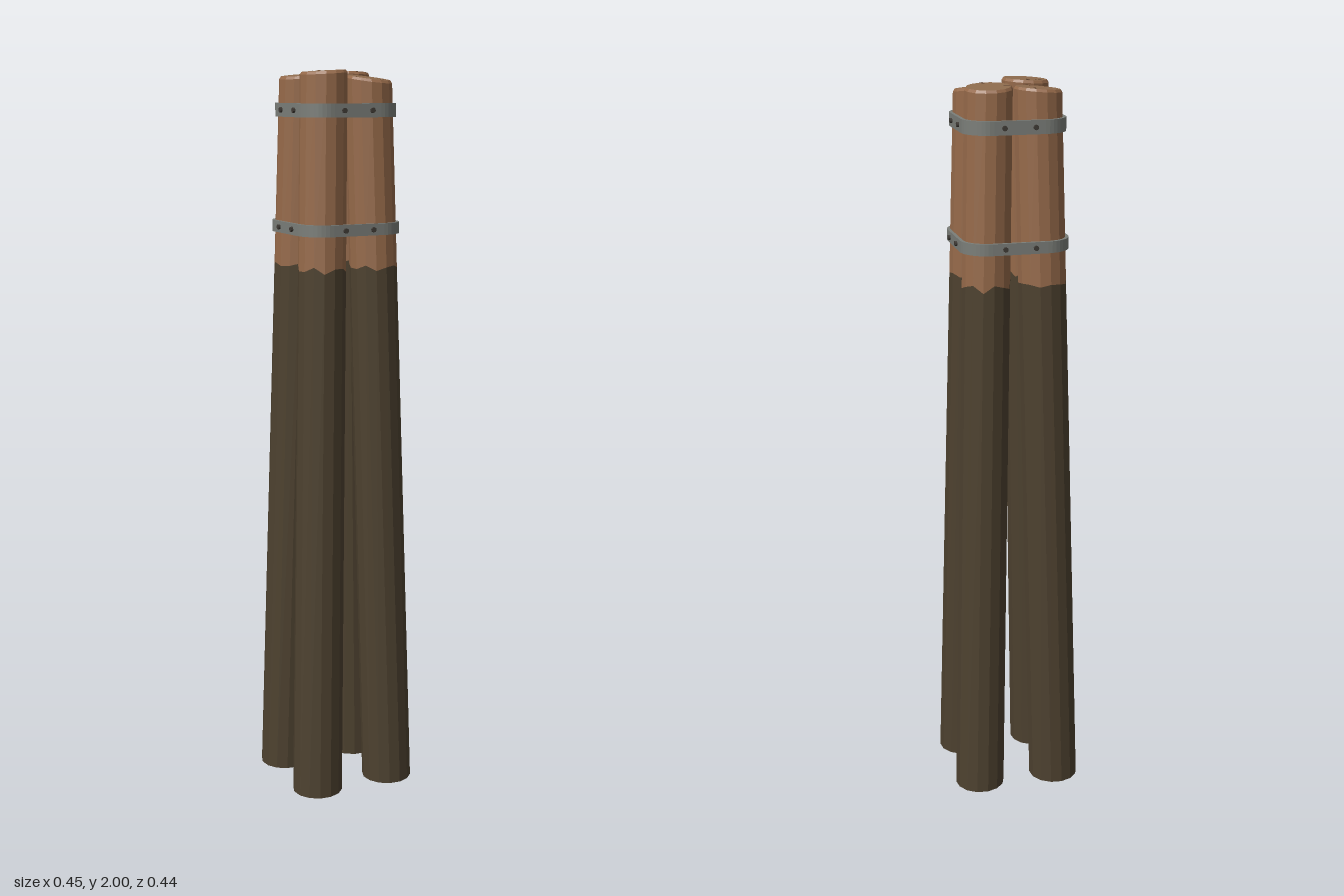
import * as THREE from 'three';

const mat = (name, color, side = THREE.FrontSide) =>
  Object.assign(new THREE.MeshStandardMaterial({ color, side, flatShading: true }), { name });

const SIDES = 14;
const TAU = Math.PI * 2;
const SEAM = 1.48;

// Pole axis and radius at a height; each pole is a quarter turn on from the last
const radiusAt = (y) => 0.07 - 0.0035 * y;
function centreAt(k, y) {
  let x = 0.153 - 0.0315 * y, z = -0.035 + 0.0075 * y;
  for (let i = 0; i < k; i++) [x, z] = [-z, x];
  return [x, z];
}

// Slightly sloping sawn top of each pole, and the angles of its two cracks
const poles = [
  { name: 'leftPole', top: 1.979, sx: -0.14, sz: 0.02, cracks: [12, 95] },
  { name: 'frontPole', top: 1.996, sx: 0.03, sz: -0.05, cracks: [218, 178] },
  { name: 'rightPole', top: 1.986, sx: 0.03, sz: -0.08, cracks: [238, 17] },
  { name: 'backPole', top: 1.992, sx: 0.04, sz: 0.06, cracks: [130, 24] },
];

// Point on a pole at angle a, radius factor f and height y
function polePoint(k, a, f, y) {
  const [cx, cz] = centreAt(k, y), r = radiusAt(y) * f;
  return [cx + Math.cos(a) * r, y, cz + Math.sin(a) * r];
}

const ring = (k, f, heightAt) => Array.from({ length: SIDES }, (_, i) => {
  const a = (i / SIDES) * TAU;
  return polePoint(k, a, f, heightAt(a, i));
});

// Skin between rings listed from bottom to top
function loft(rings) {
  const p = [];
  for (let j = 0; j < rings.length - 1; j++) {
    const lo = rings[j], hi = rings[j + 1];
    for (let i = 0; i < SIDES; i++) {
      const n = (i + 1) % SIDES;
      p.push(...lo[i], ...hi[i], ...lo[n], ...lo[n], ...hi[i], ...hi[n]);
    }
  }
  return fromPoints(p);
}

// Fan that closes a ring
function cap(points, up) {
  const p = [];
  for (let i = 1; i < points.length - 1; i++) {
    const [b, c] = up ? [points[i + 1], points[i]] : [points[i], points[i + 1]];
    p.push(...points[0], ...b, ...c);
  }
  return fromPoints(p);
}

function fromPoints(p) {
  const g = new THREE.BufferGeometry();
  g.setAttribute('position', new THREE.Float32BufferAttribute(p, 3));
  g.computeVertexNormals();
  return g;
}

function add(parent, name, geometry, material) {
  const m = new THREE.Mesh(geometry, material);
  m.name = name;
  parent.add(m);
  return m;
}

// Rounded square outline wrapped round all four poles
function wrapPath(path, y, r, clockwise) {
  const order = clockwise ? [3, 2, 1, 0] : [0, 1, 2, 3];
  for (const k of order) {
    const [cx, cz] = centreAt(k, y);
    const mid = Math.atan2(cz, cx), h = Math.PI / 4;
    path.absarc(cx, cz, r, clockwise ? mid + h : mid - h, clockwise ? mid - h : mid + h, clockwise);
  }
  path.closePath();
  return path;
}

export function createModel() {
  const wood = mat('bare wood', 0x966a4a);
  const endGrain = mat('end grain', 0x8f6c4e);
  const crackMat = mat('dark cracks', 0x553c2a, THREE.DoubleSide);
  const coat = mat('dark coating', 0x4d412f);
  const foot = mat('pole foot', 0x3a2e24);
  const metal = mat('steel band', 0x7b7e79);
  const boltMat = mat('dark bolts', 0x403b36);

  const model = new THREE.Group();
  model.name = 'poleCluster';

  poles.forEach((pole, k) => {
    const g = new THREE.Group();
    g.name = pole.name;
    model.add(g);

    const topY = (drop, f) => (a) =>
      pole.top - drop + 0.062 * f * (pole.sx * Math.cos(a) + pole.sz * Math.sin(a));
    // Uneven edge of the coating
    const seam = ring(k, 1, (a, i) => SEAM + 0.007 * Math.sin(i * 2.3 + k) + 0.005 * Math.cos(i * 3.9 + 2 * k));
    const base = ring(k, 1, () => 0);
    const rim = ring(k, 0.93, topY(0, 0.93));

    add(g, 'coatedShaft', loft([base, seam]), coat);
    add(g, 'bareShaft', loft([seam, ring(k, 1, topY(0.007, 1)), rim]), wood);
    add(g, 'sawnTop', cap(rim, true), endGrain);
    add(g, 'foot', cap(base, false), foot);

    // Drying cracks on the sawn top
    pole.cracks.forEach((deg, i) => {
      const a = (deg * Math.PI) / 180;
      const at = (b, f) => polePoint(k, b, f, topY(-0.001, f)(b));
      add(g, 'crack', cap([at(a - 0.11, 0.9), at(a + 0.11, 0.9), at(a + 0.06, i ? 0.5 : 0.35)], true), crackMat);
    });
  });

  // Steel bands with two bolts on each straight run
  for (const [name, y, height] of [['upperBand', 1.895, 0.036], ['lowerBand', 1.585, 0.031]]) {
    const g = new THREE.Group();
    g.name = name;
    model.add(g);
    const r = radiusAt(y), outer = r + 0.008;
    const shape = wrapPath(new THREE.Shape(), y, outer, false);
    shape.holes.push(wrapPath(new THREE.Path(), y, r - 0.001, true));
    const strap = new THREE.ExtrudeGeometry(shape, { depth: height, bevelEnabled: false, curveSegments: 5 });
    strap.rotateX(Math.PI / 2).translate(0, y + height / 2, 0);
    add(g, 'strap', strap, metal);

    for (let k = 0; k < 4; k++) {
      const [ax, az] = centreAt(k, y), [bx, bz] = centreAt((k + 1) % 4, y);
      const n = new THREE.Vector3(ax + bx, 0, az + bz).normalize();
      for (const s of [-0.041, 0.041]) {
        const bolt = add(g, 'bolt', new THREE.CylinderGeometry(0.007, 0.007, 0.012, 8), boltMat);
        bolt.quaternion.setFromUnitVectors(new THREE.Vector3(0, 1, 0), n);
        bolt.position.set((ax + bx) / 2 + n.x * outer - n.z * s, y, (az + bz) / 2 + n.z * outer + n.x * s);
      }
    }
  }
  return model;
}
